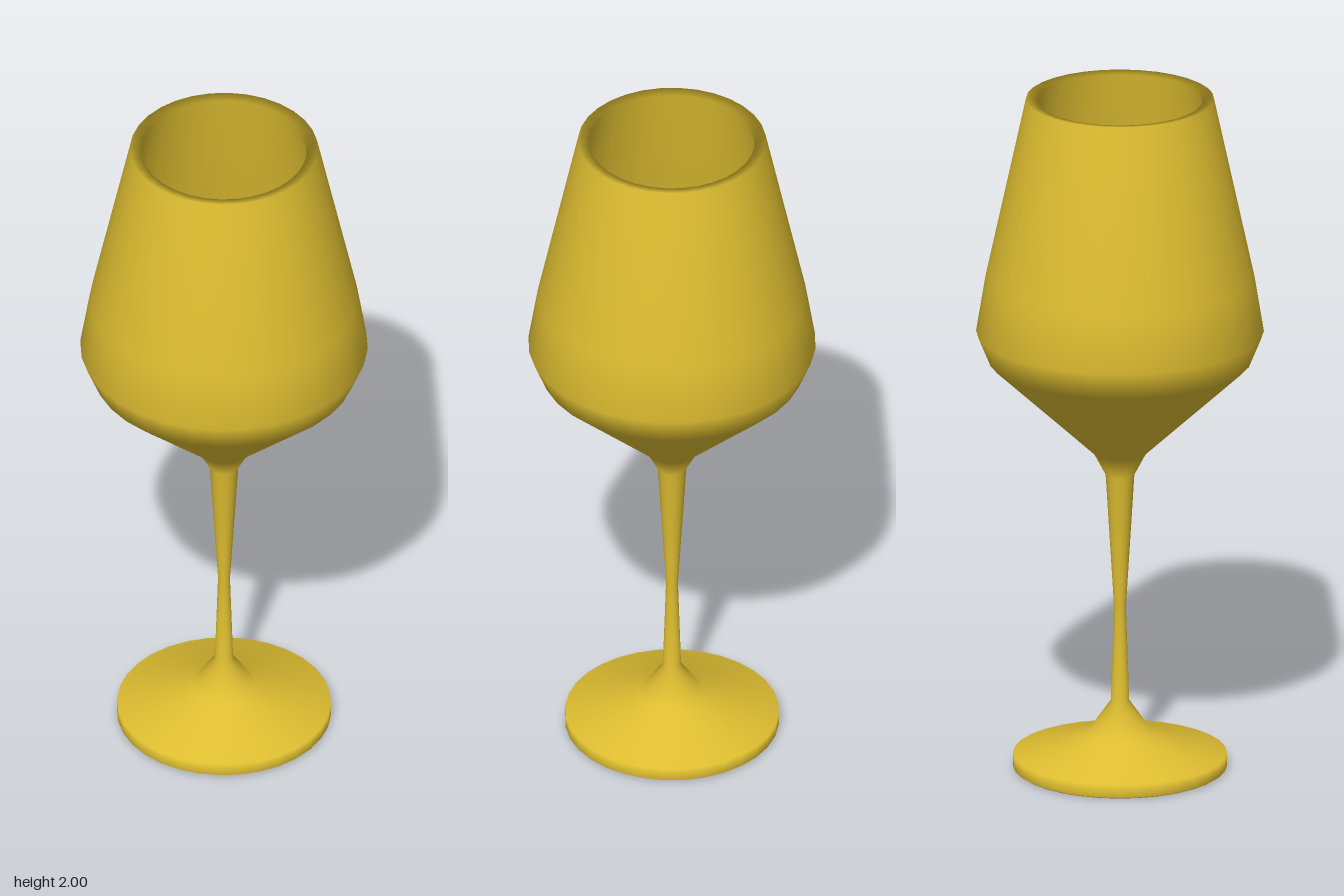
import * as THREE from 'three';

const SIDES = 32;

// Continuous outline [radius, height]: underside, foot, stem, outer bowl, rim, inner bowl.
const OUTLINE = [
  [0, 0], [0.298, 0], [0.305, 0.005], [0.305, 0.042],
  [0.092, 0.105], [0.026, 0.2],
  [0.017, 0.48], [0.041, 0.875],
  [0.075, 0.94], [0.375, 1.22], [0.41, 1.305], [0.383, 1.47], [0.268, 2],
  [0.236, 1.995],
  [0.352, 1.47], [0.378, 1.31], [0.345, 1.235], [0.16, 1.065], [0.15, 1.06], [0, 1.06],
];

// Each part is a band of the outline, so shading flows smoothly across the joins.
const PARTS = [
  ['foot', 0, 5],
  ['stem', 5, 7],
  ['bowl', 7, 12],
  ['rim', 12, 13],
  ['bowlInside', 13, OUTLINE.length - 1],
];

// Keeps only the faces of the turned surface between two outline points.
function band(lathe, from, to) {
  const n = OUTLINE.length;
  const index = [];
  for (let i = 0; i < SIDES; i++) {
    for (let j = from; j < to; j++) {
      const a = i * n + j, b = a + n;
      index.push(a, b, a + 1, b + 1, a + 1, b);
    }
  }
  const geometry = lathe.clone();
  geometry.setIndex(index);
  return geometry;
}

export function createModel() {
  const group = new THREE.Group();
  group.name = 'wineGlass';
  const material = new THREE.MeshStandardMaterial({ color: 0xdcbc30, side: THREE.DoubleSide });
  const lathe = new THREE.LatheGeometry(OUTLINE.map(([r, y]) => new THREE.Vector2(r, y)), SIDES);

  for (const [name, from, to] of PARTS) {
    const mesh = new THREE.Mesh(band(lathe, from, to), material);
    mesh.name = name;
    group.add(mesh);
  }
  return group;
}
